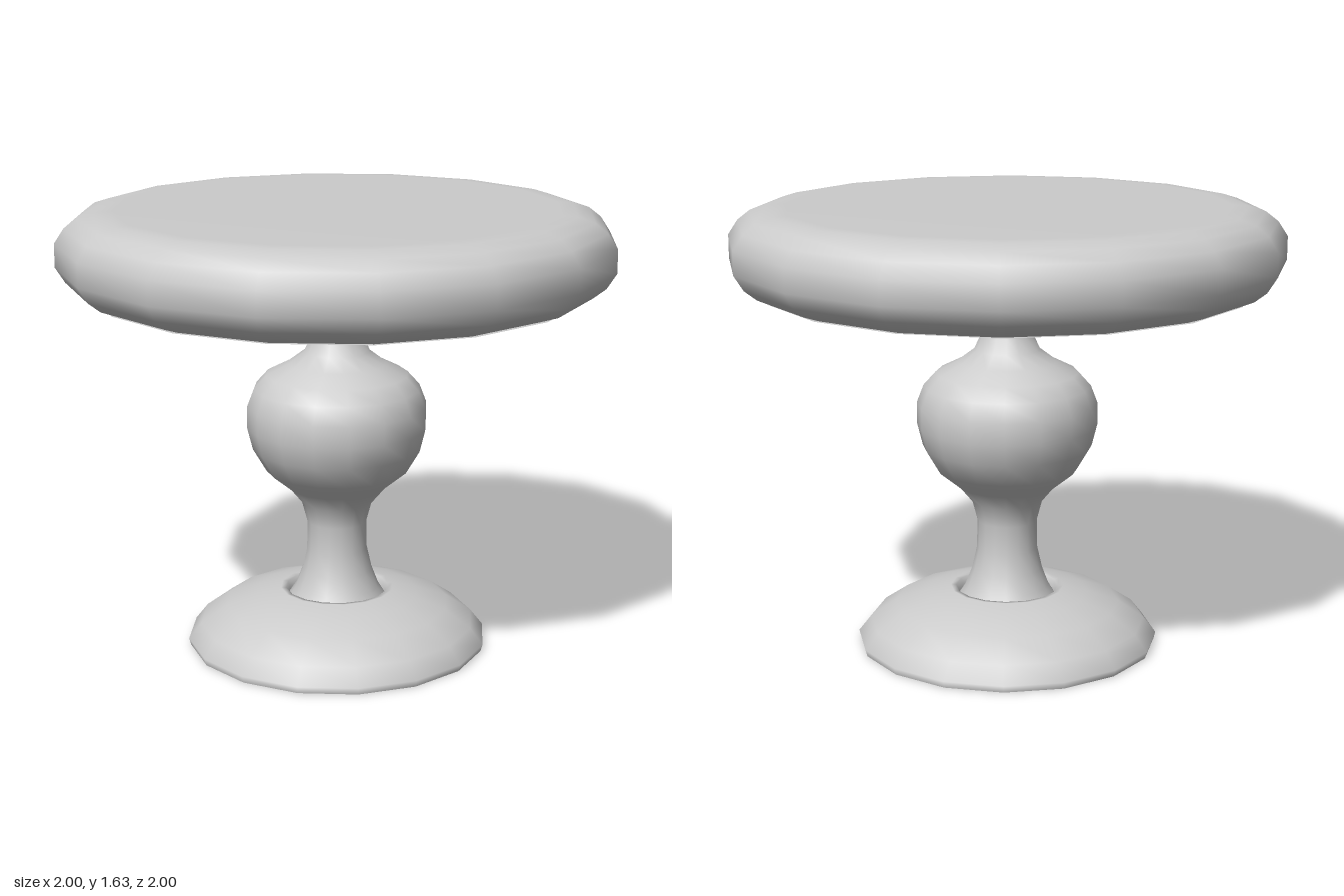
import * as THREE from 'three';

const SIDES = 16;

// Turned part: profile of [radius, height] pairs, listed from bottom to top
function turned(name, profile) {
  const points = profile.map(([r, y]) => new THREE.Vector2(r, y));
  const material = new THREE.MeshStandardMaterial({ color: 0xcccccc, side: THREE.DoubleSide });
  const mesh = new THREE.Mesh(new THREE.LatheGeometry(points, SIDES), material);
  mesh.name = name;
  return mesh;
}

export function createModel() {
  const table = new THREE.Group();
  table.name = 'pedestalTable';

  // Hollow domed foot, open below, with a hole around the stem
  table.add(turned('foot', [
    [0.55, 0], [0.557, 0.025], [0.51, 0.085], [0.415, 0.15],
    [0.3, 0.188], [0.21, 0.209], [0.19, 0.207], [0.182, 0.175],
  ]));

  // Hollow stem with a bulb, flaring out beneath the top
  table.add(turned('stem', [
    [0.18, 0.175], [0.155, 0.215], [0.13, 0.28], [0.112, 0.36], [0.11, 0.465],
    [0.13, 0.54], [0.18, 0.6], [0.26, 0.665], [0.31, 0.75], [0.33, 0.83],
    [0.33, 0.91], [0.305, 0.975], [0.26, 1.025], [0.18, 1.065], [0.12, 1.11],
    [0.095, 1.165], [0.085, 1.19], [0.12, 1.24], [0.18, 1.275], [0.35, 1.305],
    [0.88, 1.331],
  ]));

  // Thick round top with a rounded rim
  table.add(turned('tableTop', [
    [0.86, 1.33], [0.92, 1.35], [0.965, 1.385], [1, 1.44], [1, 1.525],
    [0.965, 1.578], [0.92, 1.613], [0.86, 1.632], [0.8, 1.635], [0, 1.635],
  ]));

  return table;
}
